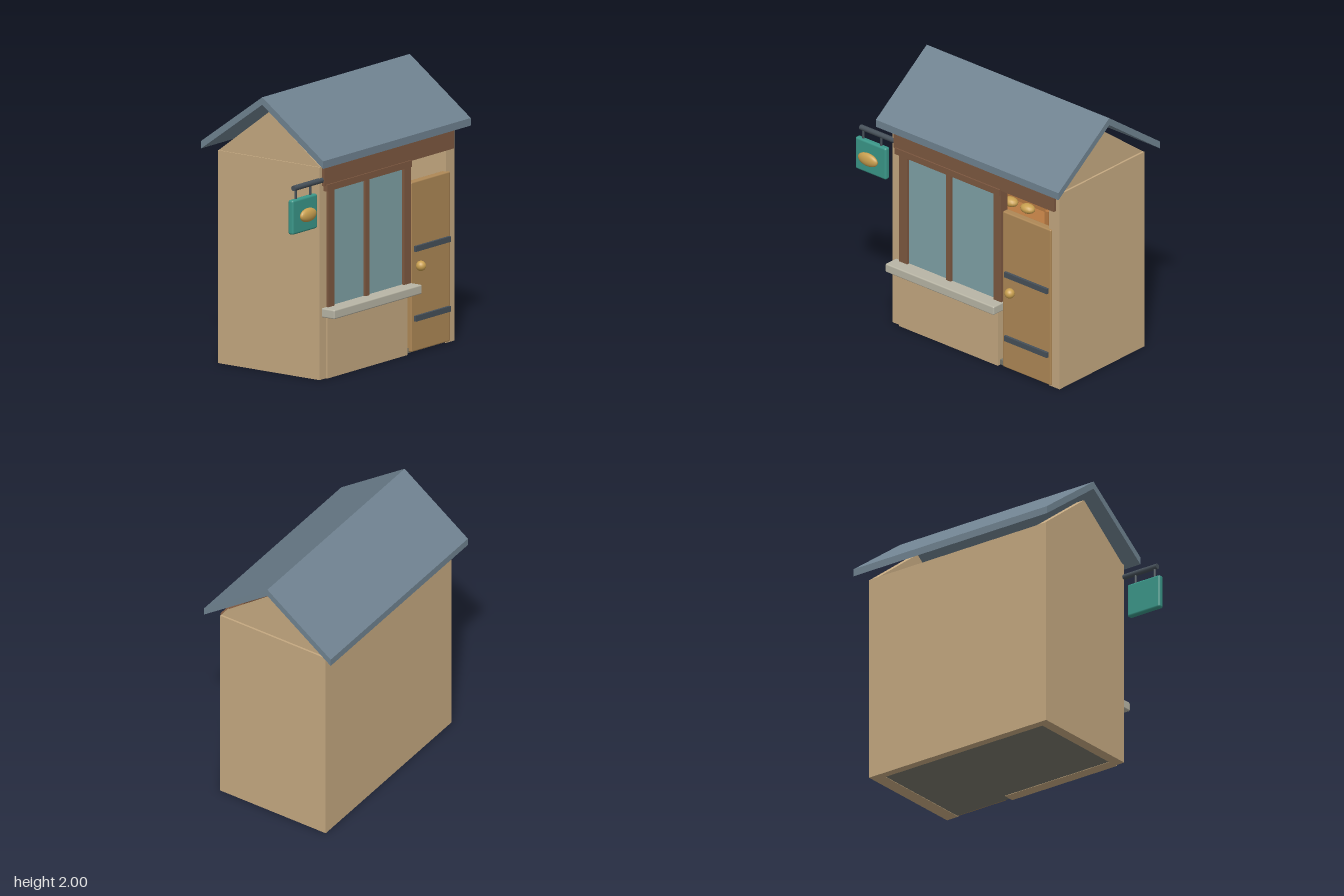
import * as THREE from 'three';
import { RoundedBoxGeometry } from 'three/addons/geometries/RoundedBoxGeometry.js';

const mat = (color) => new THREE.MeshStandardMaterial({ color });

export function createModel() {
  const group = new THREE.Group();
  const wall = mat(0xc4a880), wood = mat(0x7d5840), door = mat(0xae8856), slate = mat(0x6f8290);
  const glass = mat(0x7fa2a6), stone = mat(0xb8b5a5), iron = mat(0x465059), teal = mat(0x3a9688);
  const gold = mat(0xc9a050), floorMat = mat(0x77766a), shelfWood = mat(0xb87a42);

  const add = (name, geometry, material, x = 0, y = 0, z = 0) => {
    const mesh = new THREE.Mesh(geometry, material);
    mesh.name = name;
    mesh.position.set(x, y, z);
    group.add(mesh);
    return mesh;
  };
  // Box given by its extents; r rounds the edges
  const box = (name, material, [x0, x1], [y0, y1], [z0, z1], r = 0) => {
    const s = [x1 - x0, y1 - y0, z1 - z0];
    const geo = r ? new RoundedBoxGeometry(...s, 2, r) : new THREE.BoxGeometry(...s);
    return add(name, geo, material, (x0 + x1) / 2, (y0 + y1) / 2, (z0 + z1) / 2);
  };
  // Profile of [z, y] points extruded along x
  const extrudeX = (name, material, points, x0, x1) => {
    const shape = new THREE.Shape(points.map(([z, y]) => new THREE.Vector2(-z, y)));
    const geo = new THREE.ExtrudeGeometry(shape, { depth: x1 - x0, bevelEnabled: false });
    geo.rotateY(Math.PI / 2);
    return add(name, geo, material, x0, 0, 0);
  };

  // Hollow shell: floor, back, sides, gables
  box('floor', floorMat, [-0.62, 0.88], [0.003, 0.04], [-0.43, 0.43]);
  box('backWall', wall, [-0.66, 0.92], [0, 1.54], [-0.46, -0.4]);
  box('leftEndWall', wall, [-0.66, -0.58], [0, 1.54], [-0.4, 0.44]);
  box('rightEndWall', wall, [0.82, 0.92], [0, 1.54], [-0.4, 0.44]);
  for (const [x0, x1] of [[-0.65, -0.58], [0.835, 0.905]]) {
    extrudeX('gable', wall, [[0.44, 1.54], [-0.46, 1.54], [-0.01, 1.88]], x0, x1);
  }

  // Pitched roof
  extrudeX('roof', slate, [[0.53, 1.61], [0.53, 1.555], [-0.01, 1.945], [-0.55, 1.555], [-0.55, 1.61], [-0.01, 2]], -0.735, 0.99);

  // Shop window
  box('windowBase', wall, [-0.585, 0.35], [0, 0.46], [0.37, 0.455]);
  box('windowGlass', glass, [-0.51, 0.32], [0.5, 1.38], [0.42, 0.435]);
  for (const [x0, x1] of [[-0.58, -0.505], [0.31, 0.385]]) {
    box('windowPost', wood, [x0, x1], [0.5, 1.56], [0.39, 0.458]);
  }
  box('mullion', wood, [-0.14, -0.095], [0.5, 1.38], [0.41, 0.455]);
  box('windowLintel', wood, [-0.61, 0.38], [1.36, 1.408], [0.4, 0.472]);
  box('frontBeam', wood, [-0.63, 0.885], [1.4, 1.53], [0.39, 0.462]);
  box('windowSill', stone, [-0.63, 0.395], [0.448, 0.515], [0.4, 0.55], 0.01);

  // Door with straps and knob
  box('door', door, [0.395, 0.85], [0.01, 1.24], [0.4, 0.455], 0.01);
  for (const y of [0.25, 0.755]) box('doorStrap', iron, [0.425, 0.83], [y - 0.02, y + 0.02], [0.445, 0.475]);
  add('doorKnob', new THREE.SphereGeometry(0.037, 20, 14), gold, 0.48, 0.625, 0.475);

  // Hanging sign
  const bracket = add('signBracket', new THREE.CylinderGeometry(0.02, 0.02, 0.41, 12), iron, -0.755, 1.442, 0.437);
  bracket.rotation.z = Math.PI / 2;
  for (const x of [-0.935, -0.765]) {
    add('signHanger', new THREE.CylinderGeometry(0.009, 0.009, 0.1, 8), iron, x, 1.39, 0.437);
  }
  box('signBoard', teal, [-0.995, -0.705], [1.112, 1.362], [0.414, 0.46], 0.015);
  add('signEmblem', new THREE.SphereGeometry(1, 24, 16), gold, -0.85, 1.238, 0.485).scale.set(0.09, 0.05, 0.03);

  // Display shelves inside, against the back wall
  box('shelfBack', shelfWood, [-0.5, 0.24], [0.04, 0.93], [-0.4, -0.38]);
  for (const x of [-0.5, 0.21]) box('shelfSide', shelfWood, [x, x + 0.03], [0.04, 0.93], [-0.38, -0.2]);
  for (const y of [0.2, 0.5, 0.8]) {
    box('shelfBoard', shelfWood, [-0.47, 0.21], [y - 0.03, y], [-0.38, -0.2]);
    for (const x of [-0.35, -0.19, -0.03]) {
      add('loaf', new THREE.SphereGeometry(1, 16, 10), gold, x, y + 0.035, -0.29).scale.set(0.06, 0.035, 0.045);
    }
  }
  return group;
}
